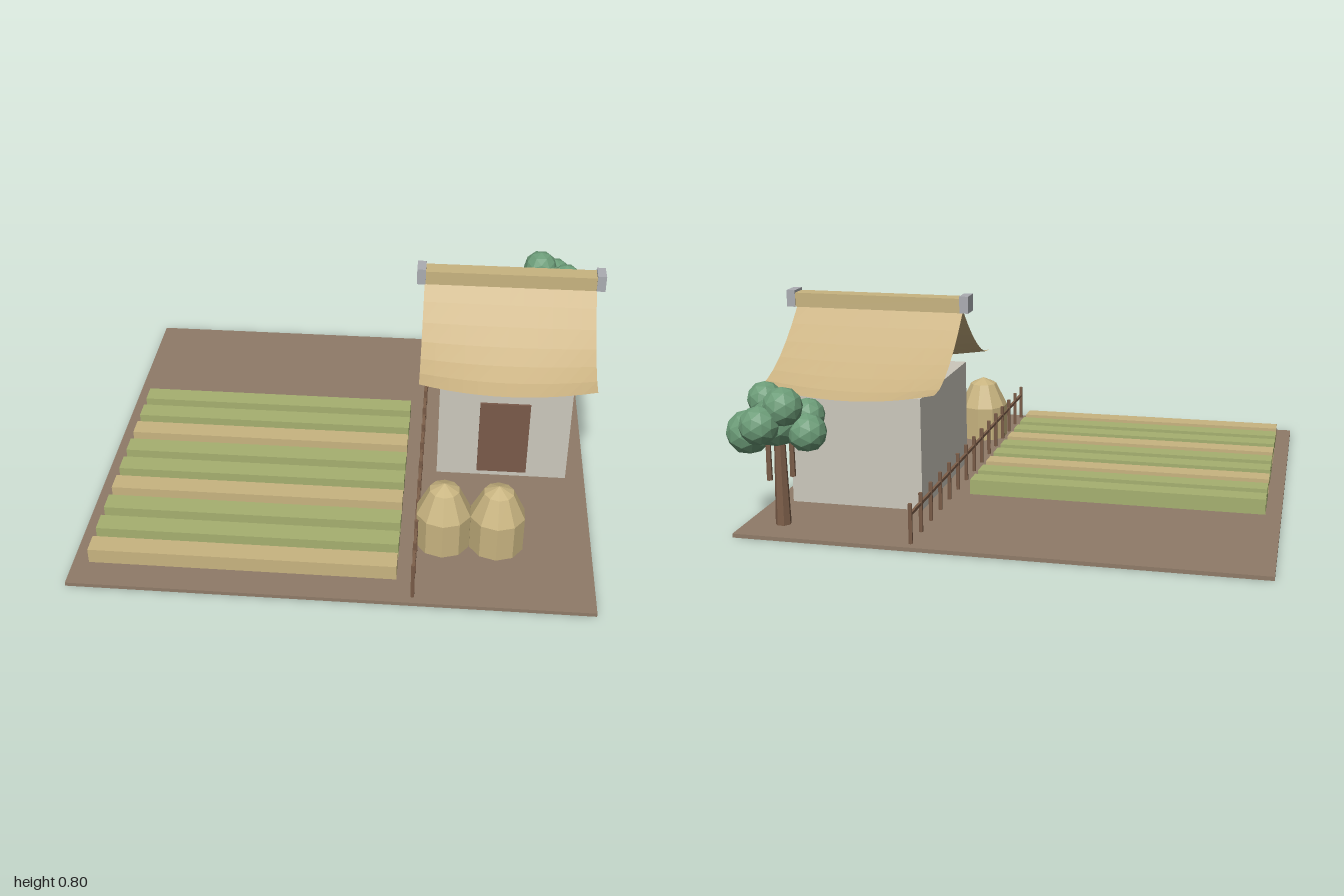
import * as THREE from 'three';

const mat = (color, extra = {}) => new THREE.MeshStandardMaterial({ color, flatShading: true, ...extra });
const M = {
  soil: mat(0x8f7b68), green: mat(0xa6b070), straw: mat(0xc8b480), wall: mat(0xccc8bc),
  door: mat(0x7a5a4a), wood: mat(0x7d5f4a), stone: mat(0xabadb2), leaf: mat(0x6c9c78),
  thatch: mat(0xc8b080, { side: THREE.DoubleSide }),
};

export function createModel() {
  const root = new THREE.Group();
  const add = (name, geo, material, x, y, z, parent = root) => {
    const mesh = new THREE.Mesh(geo, material);
    mesh.name = name;
    mesh.position.set(x, y, z);
    parent.add(mesh);
    return mesh;
  };
  const group = (name) => {
    const g = new THREE.Group();
    g.name = name;
    root.add(g);
    return g;
  };
  // box given by its limits on each axis
  const box = (name, material, x0, x1, y0, y1, z0, z1, parent) =>
    add(name, new THREE.BoxGeometry(x1 - x0, y1 - y0, z1 - z0), material,
      (x0 + x1) / 2, (y0 + y1) / 2, (z0 + z1) / 2, parent);

  box('ground', M.soil, -1, 0.95, 0, 0.015, -0.9, 0.93);

  // crop rows, every third one ripe
  const crops = group('cropRows');
  for (let i = 0; i < 9; i++) {
    const z = 0.77 - i * 0.1265;
    box('cropRow', i % 3 ? M.green : M.straw, -0.94, 0.22, 0.015, 0.075, z - 0.04, z + 0.04, crops);
  }

  // house walls and door
  const house = group('house');
  box('walls', M.wall, 0.347, 0.873, 0.01, 0.455, -0.51, 0.14, house);
  box('door', M.door, 0.51, 0.71, 0.04, 0.37, 0.13, 0.15, house);

  // sweeping thatch: concave slope with lifted corners
  const cx = 0.61, ridgeZ = -0.187, halfW = 0.345, depth = 0.407;
  for (const side of [1, -1]) {
    const geo = new THREE.PlaneGeometry(2, 1, 12, 6);
    const p = geo.attributes.position;
    for (let i = 0; i < p.count; i++) {
      const u = p.getX(i) * side, s = 0.5 - p.getY(i);
      const y = 0.737 - 0.282 * (1 - Math.pow(1 - s, 1.5)) + 0.04 * u * u * s * s;
      p.setXYZ(i, u * halfW, y, side * s * depth);
    }
    geo.computeVertexNormals();
    add(side > 0 ? 'frontRoof' : 'backRoof', geo, M.thatch, cx, 0, ridgeZ, house);
  }

  // ridge beam with stone end caps
  box('ridgeBeam', M.straw, 0.262, 0.955, 0.733, 0.79, ridgeZ - 0.035, ridgeZ + 0.035, house);
  for (const x of [0.252, 0.968])
    box('ridgeCap', M.stone, x - 0.0175, x + 0.0175, 0.733, 0.8, ridgeZ - 0.038, ridgeZ + 0.038, house);

  // straw stacks
  for (const x of [0.383, 0.587]) {
    const stack = group('strawStack');
    stack.position.set(x, 0, 0.567);
    add('stackBody', new THREE.CylinderGeometry(0.107, 0.107, 0.145, 10), M.straw, 0, 0.0875, 0, stack);
    add('stackShoulder', new THREE.CylinderGeometry(0.058, 0.107, 0.1, 10), M.straw, 0, 0.21, 0, stack);
    add('stackTip', new THREE.ConeGeometry(0.058, 0.027, 10), M.straw, 0, 0.2735, 0, stack);
  }

  // fence
  const fence = group('fence');
  for (let i = 0; i < 15; i++)
    add('fencePost', new THREE.CylinderGeometry(0.008, 0.008, 0.155, 6), M.wood, 0.283, 0.0875, 0.895 - i * 0.1253, fence);
  box('fenceRail', M.wood, 0.278, 0.288, 0.119, 0.131, -0.86, 0.895, fence);

  // tree
  const tree = group('tree');
  add('trunk', new THREE.CylinderGeometry(0.02, 0.03, 0.36, 7), M.wood, 0.81, 0.19, -0.757, tree);
  for (const [x, z] of [[0.78, -0.72], [0.845, -0.782]])
    add('branch', new THREE.CylinderGeometry(0.009, 0.011, 0.19, 6), M.wood, x, 0.285, z, tree);
  const clumps = [
    [0.82, 0.41, -0.76, 0.095], [0.84, 0.42, -0.863, 0.073], [0.77, 0.48, -0.81, 0.074],
    [0.918, 0.37, -0.78, 0.084], [0.88, 0.48, -0.71, 0.066], [0.83, 0.41, -0.665, 0.074],
    [0.7, 0.375, -0.76, 0.073], [0.725, 0.42, -0.69, 0.066],
  ];
  for (const [x, y, z, r] of clumps)
    add('foliage', new THREE.IcosahedronGeometry(r, 1), M.leaf, x, y, z, tree);

  return root;
}
